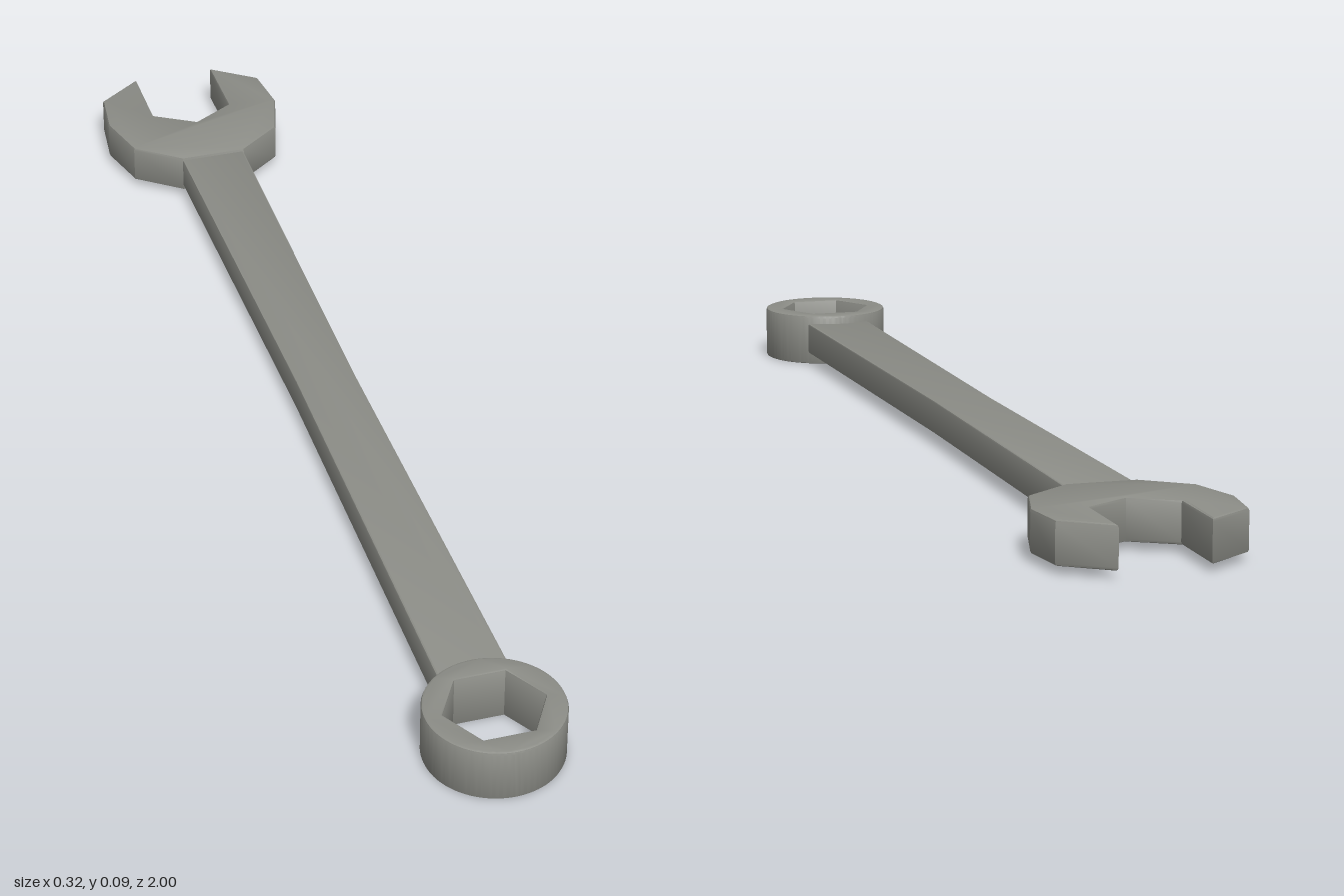
import * as THREE from 'three';
import { toCreasedNormals } from 'three/addons/utils/BufferGeometryUtils.js';

const steel = new THREE.MeshStandardMaterial({ color: 0x8c8d87 });
steel.name = 'steel grey';

// Extrude a plan outline (shape y = -z) between two heights with softly rounded edges
function slab(name, shape, y0, y1, bevel) {
  const extruded = new THREE.ExtrudeGeometry(shape, {
    depth: y1 - y0 - 2 * bevel,
    bevelThickness: bevel,
    bevelSize: bevel,
    bevelOffset: -bevel,
    bevelSegments: 2,
    curveSegments: 64,
  });
  extruded.translate(0, 0, y0 + bevel);
  extruded.rotateX(-Math.PI / 2);
  const mesh = new THREE.Mesh(toCreasedNormals(extruded, 0.4), steel);
  mesh.name = name;
  return mesh;
}

// Closed outline from its +x half, mirrored across x = 0; points are [x, z]
function mirrored(half) {
  const left = half.filter(([x]) => x > 0).map(([x, z]) => [-x, z]).reverse();
  return new THREE.Shape([...half, ...left].map(([x, z]) => new THREE.Vector2(x, -z)));
}

export function createModel() {
  const group = new THREE.Group();
  group.name = 'combination wrench';

  // Open jaw with a pointed slot: the throat comes first so the halves join at x = 0
  const jaw = mirrored([
    [0.057, -0.712], [0.133, -0.77], [0.158, -0.86], [0.148, -0.945],
    [0.071, -1.0], [0.071, -0.87], [0, -0.828],
  ]);
  group.add(slab('openJaw', jaw, 0.012, 0.08, 0.005));

  // Handle, slightly waisted at the middle
  const handle = mirrored([[0.057, 0.8], [0.05, 0], [0.057, -0.722]]);
  group.add(slab('handle', handle, 0.02, 0.075, 0.003));

  // Ring end with a hexagonal hole
  const ringZ = 0.89;
  const ring = new THREE.Shape();
  ring.absarc(0, -ringZ, 0.11, 0, Math.PI * 2);
  const hex = [];
  for (let i = 0; i < 6; i++) {
    const a = (-i * Math.PI) / 3;
    hex.push(new THREE.Vector2(0.081 * Math.cos(a), -ringZ + 0.081 * Math.sin(a)));
  }
  ring.holes.push(new THREE.Path(hex));
  group.add(slab('ringEnd', ring, 0, 0.09, 0.004));

  return group;
}
